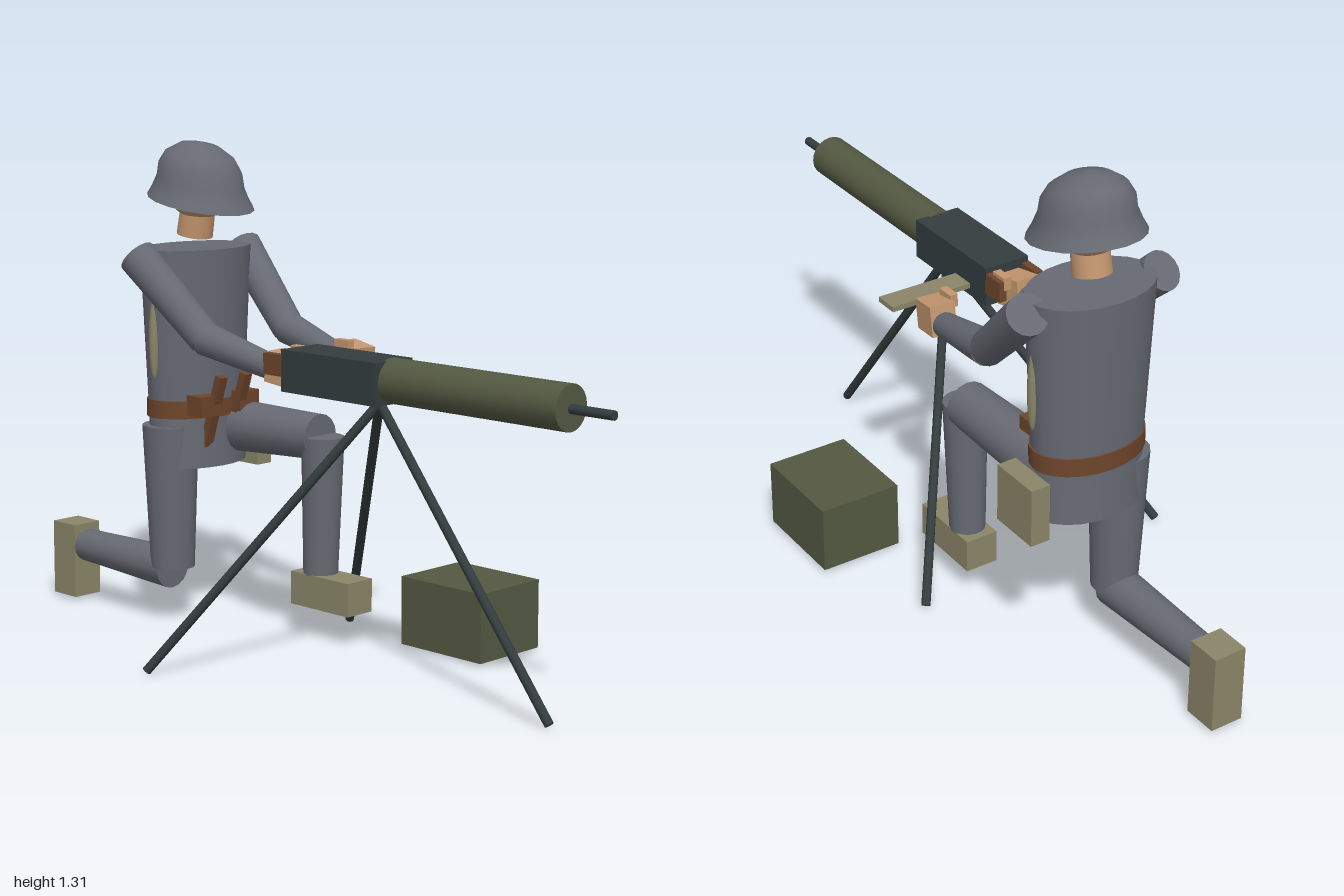
import * as THREE from 'three';

const mat = (name, color, side = THREE.FrontSide) => {
  const m = new THREE.MeshStandardMaterial({ color, side });
  m.name = name;
  return m;
};

export function createModel() {
  const root = new THREE.Group();
  root.name = 'kneelingGunner';
  const cloth = mat('fieldGrey', 0x676a73, THREE.DoubleSide);
  const skin = mat('skin', 0xc4976f);
  const olive = mat('darkOlive', 0x545942);
  const metal = mat('gunMetal', 0x343d3e);
  const canvas = mat('canvas', 0x8b8669);
  const leather = mat('leather', 0x6e452b);

  const add = (name, geo, material, parent = root) => {
    const m = new THREE.Mesh(geo, material);
    m.name = name;
    parent.add(m);
    return m;
  };
  // box given by its minimum and maximum corners
  const box = (name, a, b, material, parent = root) => {
    const m = add(name, new THREE.BoxGeometry(b[0] - a[0], b[1] - a[1], b[2] - a[2]), material, parent);
    m.position.set((a[0] + b[0]) / 2, (a[1] + b[1]) / 2, (a[2] + b[2]) / 2);
    return m;
  };
  // tapered cylinder running from point a to point b
  const limb = (name, a, b, ra, rb, material, sides = 16) => {
    const A = new THREE.Vector3(...a), B = new THREE.Vector3(...b);
    const d = B.clone().sub(A);
    const m = add(name, new THREE.CylinderGeometry(rb, ra, d.length(), sides), material);
    m.position.copy(A).add(B).multiplyScalar(0.5);
    m.quaternion.setFromUnitVectors(new THREE.Vector3(0, 1, 0), d.normalize());
    return m;
  };
  // upright elliptical section of the body
  const trunk = (name, y0, y1, r0, r1, material) => {
    const m = add(name, new THREE.CylinderGeometry(r1, r0, y1 - y0, 24), material);
    m.position.set(0.055, (y0 + y1) / 2, -0.535);
    m.scale.z = 0.68;
  };

  // body
  trunk('torso', 0.6, 1.035, 0.15, 0.172, cloth);
  trunk('jacketSkirt', 0.443, 0.6, 0.153, 0.148, cloth);
  trunk('belt', 0.58, 0.628, 0.156, 0.156, leather);
  for (const s of [-1, 1]) {
    const strap = add('sideStrap', new THREE.SphereGeometry(1, 10, 12), canvas);
    strap.position.set(0.055 + s * 0.157, 0.795, -0.53);
    strap.scale.set(0.014, 0.11, 0.014);
    const x = 0.055 + s * 0.07;
    box('pouch', [x - 0.035, 0.59, -0.47], [x + 0.035, 0.645, -0.4], leather);
  }
  for (const x of [0.01, 0.1]) {
    const strap = add('frontStrap', new THREE.BoxGeometry(0.027, 0.205, 0.022), leather);
    strap.position.set(x, 0.6, -0.418);
    strap.rotation.x = 0.31;
  }
  box('hipBag', [0.213, 0.418, -0.607], [0.266, 0.574, -0.463], canvas);

  // head, nodding slightly forward
  const head = new THREE.Group();
  head.name = 'head';
  head.position.set(0.055, 1.166, -0.513);
  head.rotation.x = 0.19;
  root.add(head);
  const face = add('face', new THREE.SphereGeometry(0.09, 16, 12), skin, head);
  face.position.set(0, 0.03, -0.01);
  const neck = add('neck', new THREE.CylinderGeometry(0.047, 0.049, 0.09, 16), skin, head);
  neck.position.set(0, -0.06, -0.006);
  const profile = [[0.14, -0.01], [0.127, 0.014], [0.114, 0.045], [0.109, 0.08], [0.09, 0.113], [0.052, 0.138], [0, 0.148]];
  const helmetGeo = new THREE.LatheGeometry(profile.map(p => new THREE.Vector2(...p)), 18);
  // elliptical plan, crown set towards the back
  helmetGeo.applyMatrix4(new THREE.Matrix4().set(1, 0, 0, 0, 0, 1, 0, 0, 0, -0.2, 1.1, 0, 0, 0, 0, 1));
  add('helmet', helmetGeo, cloth, head);

  // arms: shoulder, elbow, wrist
  const arms = [
    ['left', [0.247, 1.02, -0.555], [0.21, 0.815, -0.335], [0.178, 0.757, -0.09]],
    ['right', [-0.137, 1.02, -0.555], [-0.093, 0.815, -0.335], [-0.067, 0.757, -0.09]],
  ];
  for (const [side, shoulder, elbow, wrist] of arms) {
    limb(side + 'UpperArm', shoulder, elbow, 0.052, 0.045, cloth);
    limb(side + 'Forearm', elbow, wrist, 0.045, 0.032, cloth);
    const hand = add(side + 'Hand', new THREE.BoxGeometry(0.068, 0.08, 0.085), skin);
    hand.position.set(wrist[0] - 0.003, 0.765, -0.054);
    hand.rotation.set(0.15, side === 'left' ? -0.12 : 0.1, 0);
    const s = side === 'left' ? -1 : 1;
    const thumb = add(side + 'Thumb', new THREE.BoxGeometry(0.022, 0.035, 0.05), skin);
    thumb.position.set(wrist[0] + s * 0.042, 0.802, -0.05);
  }

  // kneeling right leg
  limb('rightThigh', [-0.038, 0.556, -0.54], [-0.035, 0.16, -0.54], 0.077, 0.06, cloth);
  limb('rightShin', [-0.036, 0.155, -0.54], [-0.037, 0.16, -0.91], 0.057, 0.045, cloth);
  box('rightBoot', [-0.082, 0.013, -1.0], [0.008, 0.222, -0.906], canvas);

  // raised left leg
  limb('leftThigh', [0.135, 0.54, -0.54], [0.147, 0.546, -0.15], 0.074, 0.062, cloth);
  limb('leftShin', [0.147, 0.55, -0.14], [0.146, 0.175, -0.147], 0.058, 0.047, cloth);
  box('leftBoot', [0.1, 0.088, -0.214], [0.191, 0.178, 0], canvas);

  // gun
  box('receiver', [-0.13, 0.717, -0.013], [0, 0.825, 0.318], metal);
  limb('coolingJacket', [-0.065, 0.775, 0.31], [-0.065, 0.775, 0.874], 0.057, 0.057, olive, 20);
  limb('barrel', [-0.065, 0.773, 0.86], [-0.065, 0.773, 1.0], 0.012, 0.012, metal, 10);
  for (const x of [-0.121, -0.011])
    box('grip', [x - 0.011, 0.755, -0.075], [x + 0.011, 0.81, -0.01], leather);

  // tripod
  const feet = [[-0.065, 0.012, 0.825], [-0.434, 0.012, -0.192], [0.304, 0.012, -0.192]];
  for (const foot of feet) limb('tripodLeg', [-0.065, 0.715, 0.27], foot, 0.012, 0.012, metal, 10);

  // ammunition
  box('ammoBelt', [0, 0.737, 0.06], [0.232, 0.751, 0.128], canvas);
  box('ammoBox', [0.213, 0.012, 0.088], [0.441, 0.196, 0.366], olive);

  return root;
}
